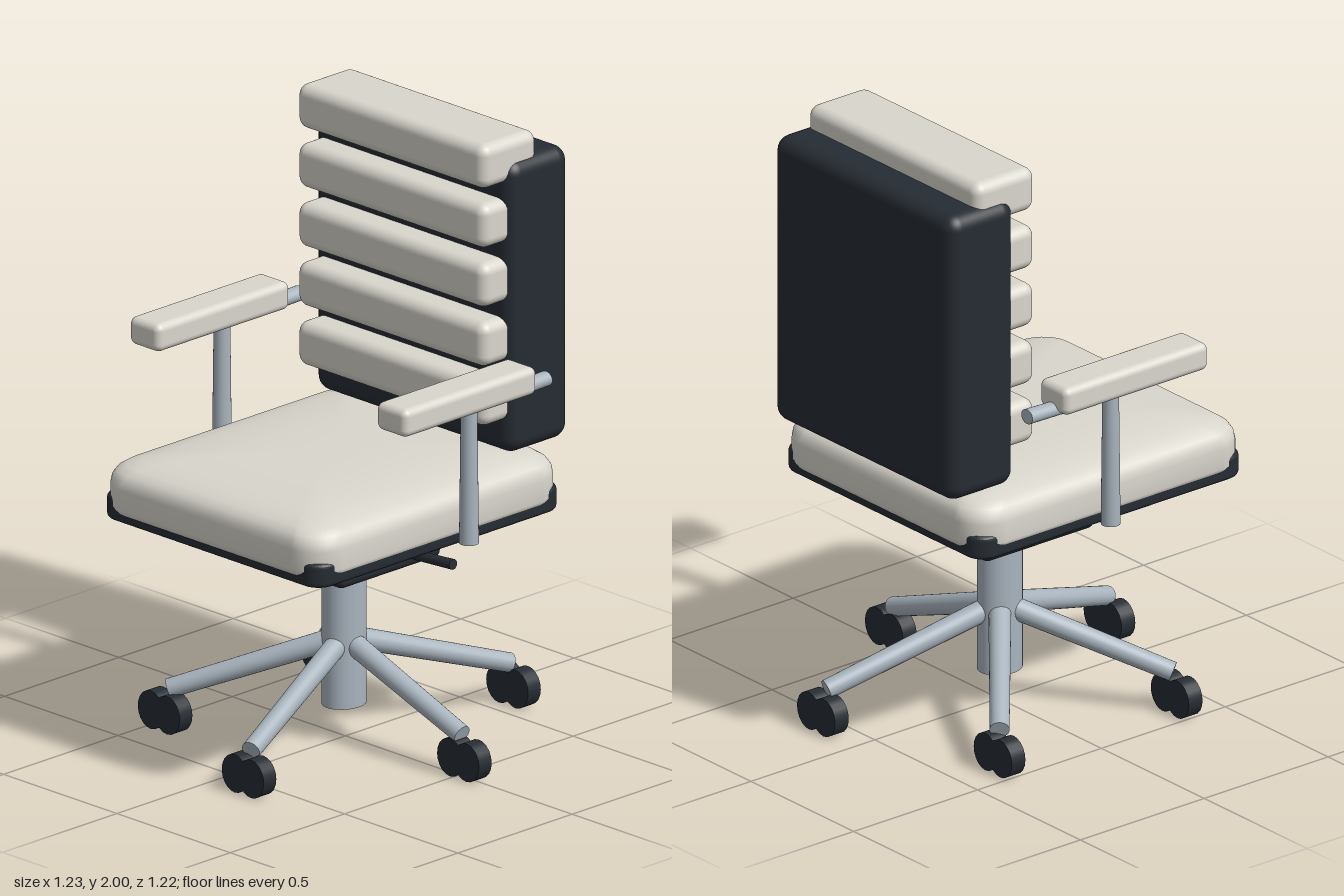
import * as THREE from 'three';
import { RoundedBoxGeometry } from 'three/addons/geometries/RoundedBoxGeometry.js';

const fabric = new THREE.MeshStandardMaterial({ color: 0xd9d6cd });
const dark = new THREE.MeshStandardMaterial({ color: 0x262c33 });
const metal = new THREE.MeshStandardMaterial({ color: 0xa9b4be });

function add(parent, name, geometry, material, x = 0, y = 0, z = 0) {
  const mesh = new THREE.Mesh(geometry, material);
  mesh.name = name;
  mesh.position.set(x, y, z);
  parent.add(mesh);
  return mesh;
}

// Rounded box given by its limits on each axis
function box(parent, name, material, [x0, x1], [y0, y1], [z0, z1], radius) {
  const geometry = new RoundedBoxGeometry(x1 - x0, y1 - y0, z1 - z0, 5, radius);
  return add(parent, name, geometry, material, (x0 + x1) / 2, (y0 + y1) / 2, (z0 + z1) / 2);
}

// Round bar between two points
function bar(parent, name, material, from, to, r0, r1 = r0) {
  const a = new THREE.Vector3(...from), b = new THREE.Vector3(...to);
  const dir = b.clone().sub(a);
  const mesh = add(parent, name, new THREE.CylinderGeometry(r1, r0, dir.length(), 24), material);
  mesh.position.copy(a).add(b).multiplyScalar(0.5);
  mesh.quaternion.setFromUnitVectors(new THREE.Vector3(0, 1, 0), dir.normalize());
  return mesh;
}

// Outline of a rounded rectangle centred on the origin
function roundedRect(hw, hh, r, steps = 10) {
  const points = [];
  [[1, 1], [-1, 1], [-1, -1], [1, -1]].forEach(([sx, sy], corner) => {
    for (let i = 0; i <= steps; i++) {
      const t = (corner + i / steps) * Math.PI / 2;
      points.push(new THREE.Vector2(sx * (hw - r) + r * Math.cos(t), sy * (hh - r) + r * Math.sin(t)));
    }
  });
  return points;
}

// Cushion lofted through rounded rectangles: [inset, height, scale]
function cushionGeometry(hw, hd, r, rings) {
  const position = [], index = [];
  let n = 0;
  rings.forEach(([inset, y, scale = 1], k) => {
    const outline = roundedRect(hw - inset, hd - inset, Math.max(r - inset * 0.4, 0.03));
    n = outline.length;
    outline.forEach(p => position.push(p.x * scale, y, p.y * scale));
    if (k === 0) return;
    for (let j = 0; j < n; j++) {
      const a = (k - 1) * n + j, b = (k - 1) * n + (j + 1) % n;
      index.push(a, a + n, b, b, a + n, b + n);
    }
  });
  const geometry = new THREE.BufferGeometry();
  geometry.setAttribute('position', new THREE.Float32BufferAttribute(position, 3));
  geometry.setIndex(index);
  geometry.computeVertexNormals();
  return geometry;
}

function buildBase(chair) {
  const base = new THREE.Group();
  base.name = 'base';
  chair.add(base);
  const squeeze = 0.87, cx = -0.006;

  const column = add(base, 'column', new THREE.CylinderGeometry(0.075, 0.075, 0.66, 40), metal, cx, 0.44, 0);
  column.scale.x = squeeze;

  // Five legs, each ending in a twin-wheel caster
  const wheel = new THREE.CylinderGeometry(0.063, 0.063, 0.055, 20).rotateX(Math.PI / 2);
  for (let i = 0; i < 5; i++) {
    const angle = i * Math.PI * 2 / 5;
    const x = cx + 0.61 * squeeze * Math.cos(angle), z = 0.61 * Math.sin(angle) * 0.997;
    bar(base, 'leg', metal, [cx, 0.33, 0], [cx + (x - cx) * 0.98, 0.137, z * 0.98], 0.036, 0.031);
    const caster = new THREE.Group();
    caster.name = 'caster';
    caster.position.set(x, 0.063, z);
    base.add(caster);
    for (const side of [-1, 1]) add(caster, 'casterWheel', wheel, dark, side * 0.036).scale.x = 0.9;
  }

  box(base, 'tiltMechanism', dark, [-0.21, 0.205], [0.587, 0.722], [-0.224, 0.222], 0.025);
  bar(base, 'heightLever', dark, [0.18, 0.67, 0], [0.475, 0.69, 0], 0.015, 0.017);
}

function buildSeat(chair) {
  const seat = new THREE.Group();
  seat.name = 'seat';
  seat.position.z = 0.06;
  chair.add(seat);

  // Open frame under the cushion, its corners showing past the softer cushion corners
  const bevel = 0.015;
  const shape = new THREE.Shape(roundedRect(0.485 - bevel, 0.54 - bevel, 0.05));
  shape.holes.push(new THREE.Path(roundedRect(0.37, 0.42, 0.03).reverse()));
  const frame = new THREE.ExtrudeGeometry(shape, {
    depth: 0.05, bevelSize: bevel, bevelThickness: bevel, bevelSegments: 4,
  });
  frame.rotateX(-Math.PI / 2);
  add(seat, 'seatFrame', frame, dark, 0, 0.755 + bevel, 0);

  const rings = [
    [0.06, 0.778, 0], [0.06, 0.778], [0.025, 0.779], [0.008, 0.786], [0, 0.805], [0, 0.87],
    [0.004, 0.895], [0.016, 0.915], [0.04, 0.932], [0.08, 0.944], [0.13, 0.953],
    [0.2, 0.961], [0.28, 0.966], [0.28, 0.968, 0.5], [0.28, 0.968, 0],
  ];
  add(seat, 'seatCushion', cushionGeometry(0.49, 0.55, 0.115, rings), fabric);
}

function buildBackrest(chair) {
  const back = new THREE.Group();
  back.name = 'backrest';
  chair.add(back);
  box(back, 'backShell', dark, [-0.44, 0.436], [0.958, 1.925], [-0.557, -0.29], 0.05);
  for (let i = 0; i < 5; i++) {
    const y = 1.07 + i * 0.196;
    box(back, 'backPad', fabric, [-0.418, 0.414], [y, y + 0.146], [-0.435, -0.193], 0.036);
  }
}

function buildArmrest(chair, side) {
  const arm = new THREE.Group();
  arm.name = side > 0 ? 'leftArmrest' : 'rightArmrest';
  arm.position.x = side * 0.545;
  chair.add(arm);
  box(arm, 'armPad', fabric, [-0.067, 0.067], [1.226, 1.318], [-0.237, 0.345], 0.024);
  bar(arm, 'armPost', metal, [0, 0.78, 0], [0, 1.235, 0], 0.031, 0.026);
  bar(arm, 'armRearBar', metal, [0, 1.228, 0], [0, 1.237, -0.338], 0.022, 0.024).scale.x = 1.15;
}

export function createModel() {
  const chair = new THREE.Group();
  chair.name = 'officeChair';
  buildBase(chair);
  buildSeat(chair);
  buildBackrest(chair);
  for (const side of [-1, 1]) buildArmrest(chair, side);
  return chair;
}
